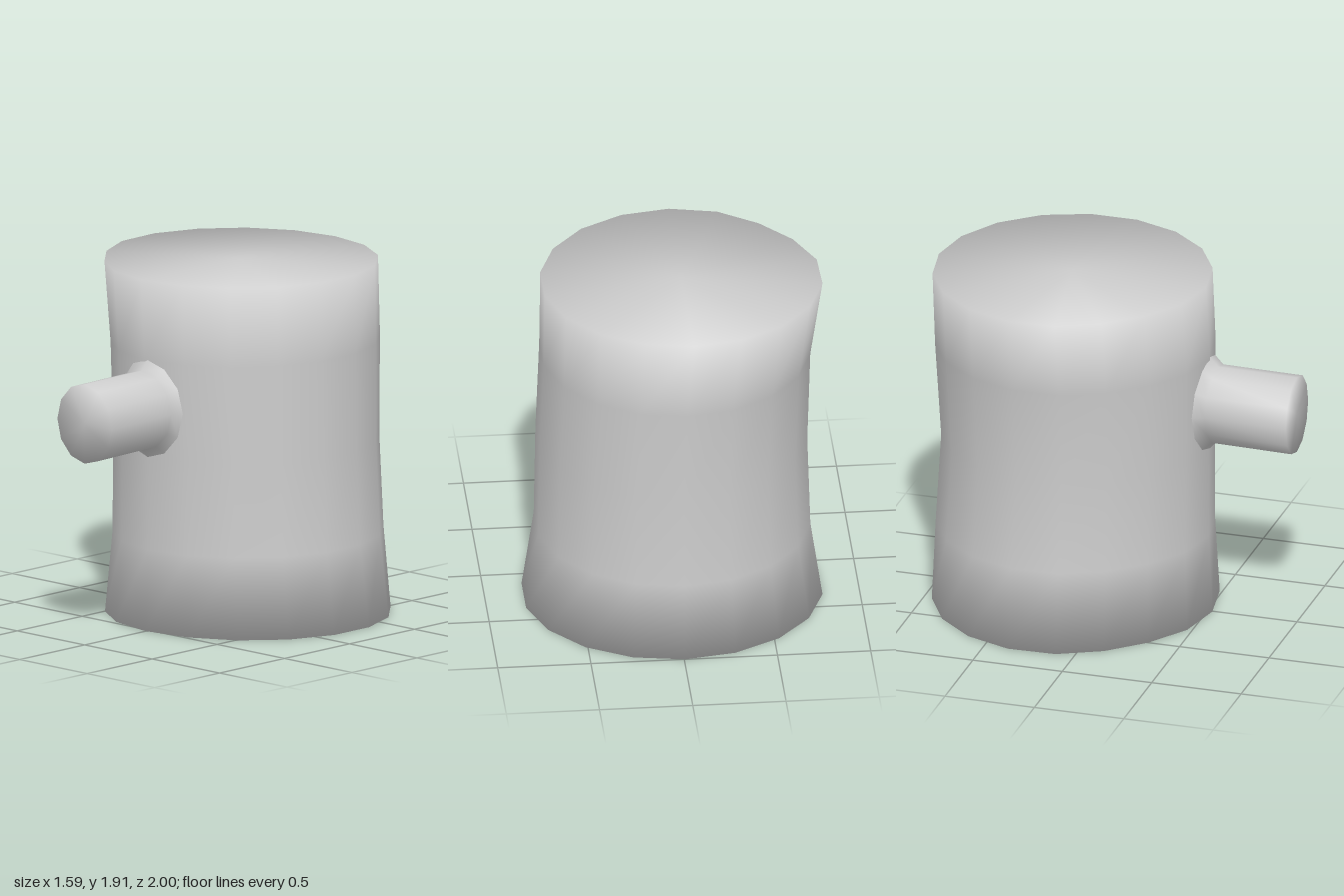
import * as THREE from 'three';

// Smooth loft through rings of points; the first and last rings may be closed with a fan.
function loft(rings, capStart, capEnd) {
  const n = rings[0].length;
  const points = rings.flat();
  const index = [];
  for (let r = 0; r < rings.length - 1; r++) {
    for (let i = 0; i < n; i++) {
      const a = r * n + i, b = r * n + (i + 1) % n;
      index.push(a, a + n, b, b, a + n, b + n);
    }
  }
  const cap = (start, flip) => {
    const centre = new THREE.Vector3();
    for (let i = 0; i < n; i++) centre.addScaledVector(points[start + i], 1 / n);
    const c = points.push(centre) - 1;
    for (let i = 0; i < n; i++) {
      const a = start + i, b = start + (i + 1) % n;
      index.push(c, flip ? a : b, flip ? b : a);
    }
  };
  const last = (rings.length - 1) * n;
  if (capStart) cap(0, true);
  if (capEnd) cap(last, false);
  const geometry = new THREE.BufferGeometry().setFromPoints(points);
  geometry.setIndex(index);
  geometry.computeVertexNormals();
  return geometry;
}

// One ring of `sides` points, placed by a function of the angle.
function ring(sides, phase, place) {
  return Array.from({ length: sides }, (_, i) => place(phase + (i / sides) * Math.PI * 2));
}

export function createModel() {
  const group = new THREE.Group();
  group.name = 'treeStump';
  const material = new THREE.MeshStandardMaterial({ color: 0xcccccc, side: THREE.DoubleSide });
  const add = (name, geometry) => {
    const mesh = new THREE.Mesh(geometry, material);
    mesh.name = name;
    group.add(mesh);
  };

  // Trunk: uneven rings given as height, x range and z range
  const trunkRings = [
    [0, -0.8, 0.79, -1, 0.53],
    [0.44, -0.735, 0.725, -0.985, 0.51],
    [0.95, -0.72, 0.715, -0.955, 0.51],
    [1.48, -0.735, 0.695, -0.985, 0.52],
    [1.91, -0.8, 0.69, -0.985, 0.51],
  ].map(([y, x0, x1, z0, z1]) => ring(18, Math.PI / 18, (a) => {
    // slight flattening of the front left-hand side of the bark
    const dent = 1 - 0.05 * Math.exp(-(((a - 2.4) / 0.45) ** 2));
    const rx = (x1 - x0) / 2 / Math.cos(Math.PI / 18);
    return new THREE.Vector3(
      (x0 + x1) / 2 + rx * dent * Math.cos(a),
      y,
      (z0 + z1) / 2 + ((z1 - z0) / 2) * dent * Math.sin(a)
    );
  }));
  add('trunk', loft(trunkRings, true, true));

  // Branch stub: flared root hugging the trunk, then a straight round stub
  const stubRings = [
    [0.515, 0.6, 1.215, 0.265, 0.23],
    [0.56, 0.3, 1.215, 0.215, 0.205],
    [1, 0, 1.208, 0.217, 0.202],
  ].map(([z, wrap, y, ry, rx]) => ring(12, 0, (a) => {
    const x = rx * Math.sin(a);
    return new THREE.Vector3(x, y + ry * Math.cos(a), z - wrap * x * x);
  }));
  add('branchStub', loft(stubRings, false, true));

  return group;
}
